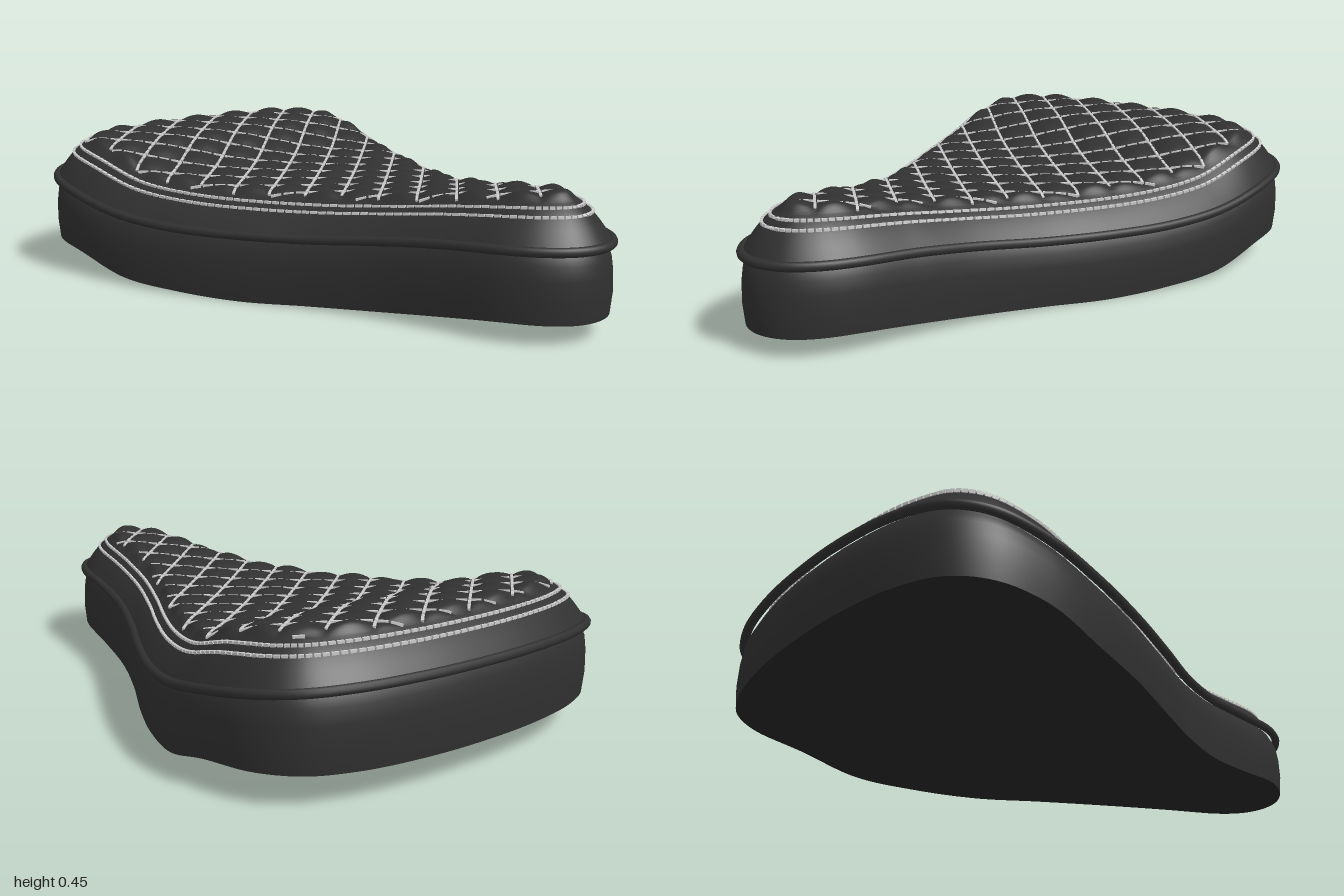
import * as THREE from 'three';
import { mergeGeometries, mergeVertices } from 'three/addons/utils/BufferGeometryUtils.js';

const HALF = 200, N = HALF * 2, CROSS = 120;
const QX = 0.152, QZ = 0.177, QX0 = -0.6; // quilt diamond size and phase

// smooth height profiles along x, keys evenly spaced from -1 to 1
const profile = keys => x => {
  const u = THREE.MathUtils.clamp((x + 1) / 2, 0, 1) * (keys.length - 1);
  const i = Math.min(Math.floor(u), keys.length - 2), t = u - i;
  const at = k => keys[THREE.MathUtils.clamp(k, 0, keys.length - 1)];
  const [a, b, c, d] = [at(i - 1), at(i), at(i + 1), at(i + 2)];
  return b + 0.5 * t * (c - a + t * (2 * a - 5 * b + 4 * c - d + t * (3 * (b - c) + d - a)));
};
const seamY = profile([0.318, 0.3, 0.267, 0.23, 0.212, 0.209, 0.214, 0.232, 0.252, 0.264, 0.266]);
const topY = profile([0.445, 0.44, 0.415, 0.357, 0.335, 0.33, 0.335, 0.352, 0.378, 0.4, 0.405]);
const baseY = profile([0.092, 0.092, 0.075, 0.025, 0.008, 0, 0.008, 0.02, 0.04, 0.06, 0.06]);

// plan outline: rear, +z side, nose, then the mirrored side
const side = [[-0.975, 0.22], [-0.938, 0.42], [-0.875, 0.555], [-0.77, 0.63], [-0.6, 0.651], [-0.4, 0.625],
  [-0.2, 0.562], [0, 0.474], [0.2, 0.376], [0.4, 0.296], [0.6, 0.246], [0.8, 0.203], [0.9, 0.152], [0.965, 0.08]];
const plan = [[-0.986, 0], ...side, [0.986, 0], ...side.slice().reverse().map(([x, z]) => [x, -z])];
const outline = new THREE.CatmullRomCurve3(plan.map(([x, z]) => new THREE.Vector3(x, 0, z)), true)
  .getSpacedPoints(N).slice(0, N);
const outward = outline.map((_, i) => {
  const t = outline[(i + 1) % N].clone().sub(outline[(i + N - 1) % N]).normalize();
  return new THREE.Vector3(-t.z, 0, t.x);
});

// distance inward from the outline, negative outside
function inset(x, z) {
  let best = Infinity, k = 0;
  for (let i = 0; i < N; i++) {
    const d = (outline[i].x - x) ** 2 + (outline[i].z - z) ** 2;
    if (d < best) { best = d; k = i; }
  }
  const s = (outline[k].x - x) * outward[k].x + (outline[k].z - z) * outward[k].z;
  return s < -1e-6 ? -Math.sqrt(best) : Math.sqrt(best);
}

// cushion height: rounded shoulder plus quilted diamonds
function cushionY(x, z) {
  const d = Math.max(0, inset(x, z));
  const f = 1 - Math.max(0, 1 - d / 0.15) ** 2;
  const u = (x - QX0) / QX, v = z / QZ;
  const puff = Math.abs(Math.sin(Math.PI * (u + v)) * Math.sin(Math.PI * (u - v))) ** 0.7;
  const s = seamY(x);
  return s + (topY(x) - 0.01 - s) * f + 0.018 * puff * THREE.MathUtils.smoothstep(d, 0.09, 0.13);
}

const ring = (d, y) => outline.map((p, i) => {
  const q = p.clone().addScaledVector(outward[i], -d);
  q.y = y(q.x, q.z, p.x);
  return q;
});

// surface through rows of points
function grid(rows, closed) {
  const n = rows[0].length, index = [];
  for (let r = 0; r < rows.length - 1; r++) {
    for (let c = 0; c < (closed ? n : n - 1); c++) {
      const a = r * n + c, b = r * n + (c + 1) % n;
      index.push(a, b, a + n, b, b + n, a + n);
    }
  }
  const g = new THREE.BufferGeometry().setFromPoints(rows.flat());
  g.setIndex(index);
  return g;
}

// rows running rear to nose that fill the inside of a ring
function fill(edge, y, m) {
  const rows = [];
  for (let j = 0; j <= m; j++) {
    const k = 1 - 2 * j / m;
    rows.push(edge.slice(0, HALF + 1).map(p => new THREE.Vector3(p.x, y(p.x, p.z * k), p.z * k)));
  }
  return rows;
}

// one short thread between two plan points, lying on the cushion
function thread(x1, z1, x2, z2) {
  const a = new THREE.Vector3(x1, cushionY(x1, z1) + 0.003, z1);
  const b = new THREE.Vector3(x2, cushionY(x2, z2) + 0.003, z2);
  const dir = b.clone().sub(a), len = dir.length();
  const g = new THREE.BoxGeometry(0.008, 0.008, len);
  g.applyQuaternion(new THREE.Quaternion().setFromUnitVectors(new THREE.Vector3(0, 0, 1), dir.normalize()));
  const mid = a.add(b).multiplyScalar(0.5);
  return g.translate(mid.x, mid.y, mid.z);
}

export function createModel() {
  const model = new THREE.Group();
  model.name = 'saddle';
  const material = (name, color) => {
    const m = new THREE.MeshStandardMaterial({ color });
    m.name = name;
    return m;
  };
  const leather = material('black leather', 0x303030);
  const under = material('dark underside', 0x262626);
  const cotton = material('light thread', 0xcccccc);
  const add = (name, geometry, mat) => {
    const mesh = new THREE.Mesh(geometry, mat);
    mesh.name = name;
    model.add(mesh);
  };

  // quilted cushion
  const rings = [0, 0.01, 0.022, 0.035, 0.05, 0.065, 0.08, 0.09, 0.1].map(d => ring(d, cushionY));
  const cushion = mergeVertices(mergeGeometries([
    grid(rings, true), grid(fill(rings[rings.length - 1], cushionY, CROSS), false)]), 1e-5);
  cushion.computeVertexNormals();
  add('quiltedCushion', cushion, leather);

  // side wall, tucked in under the piping
  const wall = grid([[0, 0], [0.3, -0.006], [0.6, -0.004], [0.8, 0.002], [0.92, 0.014], [1, 0.022]].map(([k, d]) =>
    ring(d, (x, z, px) => THREE.MathUtils.lerp(baseY(px), seamY(px), k))), true);
  wall.computeVertexNormals();
  add('sideWall', wall, leather);

  // underside
  const bottom = grid(fill(ring(0, (x, z, px) => baseY(px)), x => baseY(x), 2).reverse(), false);
  bottom.computeVertexNormals();
  add('underside', bottom, under);

  // piping around the seam
  const seam = ring(0, (x, z, px) => seamY(px)).filter((_, i) => i % 4 === 0);
  add('piping', new THREE.TubeGeometry(new THREE.CatmullRomCurve3(seam, true), 240, 0.014, 10, true), leather);

  // double row of stitches around the edge
  const edge = [];
  for (const d of [0.058, 0.082]) {
    const line = ring(d, () => 0);
    for (let i = 0; i < N; i += 2) {
      const a = line[i], b = line[(i + 2) % N];
      edge.push(thread(a.x, a.z, a.x + (b.x - a.x) * 0.8, a.z + (b.z - a.z) * 0.8));
    }
  }
  add('edgeStitching', mergeGeometries(edge), cotton);

  // diagonal stitches in the quilt valleys
  const quilt = [], step = QZ / 6;
  for (const s of [-1, 1]) {
    for (let k = -8; k <= 16; k++) {
      for (let j = -20; j < 20; j++) {
        const z1 = j * step, z2 = z1 + step * 0.82;
        const x1 = QX0 + QX * (k - s * z1 / QZ), x2 = QX0 + QX * (k - s * z2 / QZ);
        if (inset(x1, z1) > 0.1 && inset(x2, z2) > 0.1) quilt.push(thread(x1, z1, x2, z2));
      }
    }
  }
  add('quiltStitching', mergeGeometries(quilt), cotton);
  return model;
}
